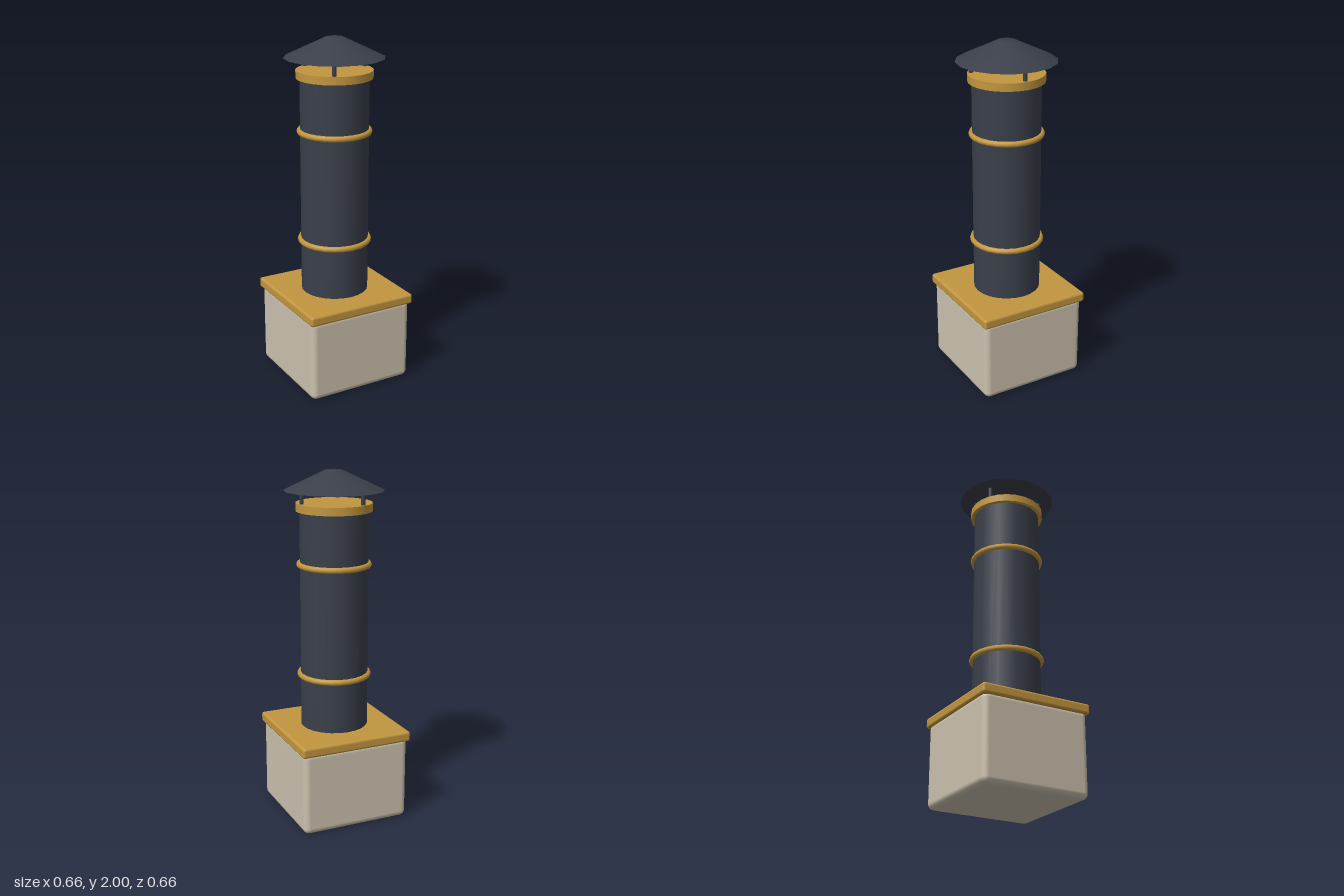
import * as THREE from 'three';
import { RoundedBoxGeometry } from 'three/addons/geometries/RoundedBoxGeometry.js';

export function createModel() {
  const model = new THREE.Group();
  model.name = 'chimney';

  const material = (name, color) => {
    const m = new THREE.MeshStandardMaterial({ color });
    m.name = name;
    return m;
  };
  const stone = material('stone', 0xcbc1ae);
  const brass = material('brass', 0xc2963f);
  const iron = material('iron', 0x3a3f4a);

  const add = (name, geometry, mat, x = 0, y = 0, z = 0) => {
    const mesh = new THREE.Mesh(geometry, mat);
    mesh.name = name;
    mesh.position.set(x, y, z);
    model.add(mesh);
    return mesh;
  };

  // Plinth and its capping slab
  add('base', new RoundedBoxGeometry(0.64, 0.49, 0.64, 3, 0.035), stone, 0, 0.25, 0);
  add('slab', new RoundedBoxGeometry(0.664, 0.06, 0.664, 3, 0.015), brass, 0, 0.505, 0);

  // Pipe with two bands and a collar
  add('pipe', new THREE.CylinderGeometry(0.193, 0.193, 1.29, 24), iron, 0, 1.155, 0);
  for (const y of [0.838, 1.478]) {
    add('band', new THREE.TorusGeometry(0.196, 0.017, 8, 24), brass, 0, y, 0).rotation.x = Math.PI / 2;
  }
  add('collar', new THREE.CylinderGeometry(0.215, 0.215, 0.045, 24), brass, 0, 1.8, 0);

  // Three struts carrying the rain cap
  for (let i = 0; i < 3; i++) {
    const a = (i * Math.PI * 2) / 3;
    add('strut', new THREE.CylinderGeometry(0.012, 0.012, 0.1, 8), iron,
      0.194 * Math.cos(a), 1.855, 0.194 * Math.sin(a));
  }

  // Shallow conical rain cap, closed underneath
  const profile = [[0.281, 1.89], [0.05, 2], [0, 2]].map(([r, y]) => new THREE.Vector2(r, y));
  add('rainCap', new THREE.LatheGeometry(profile, 16), iron);
  add('rainCapUnderside', new THREE.CircleGeometry(0.281, 16), iron, 0, 1.89, 0).rotation.x = Math.PI / 2;

  return model;
}
